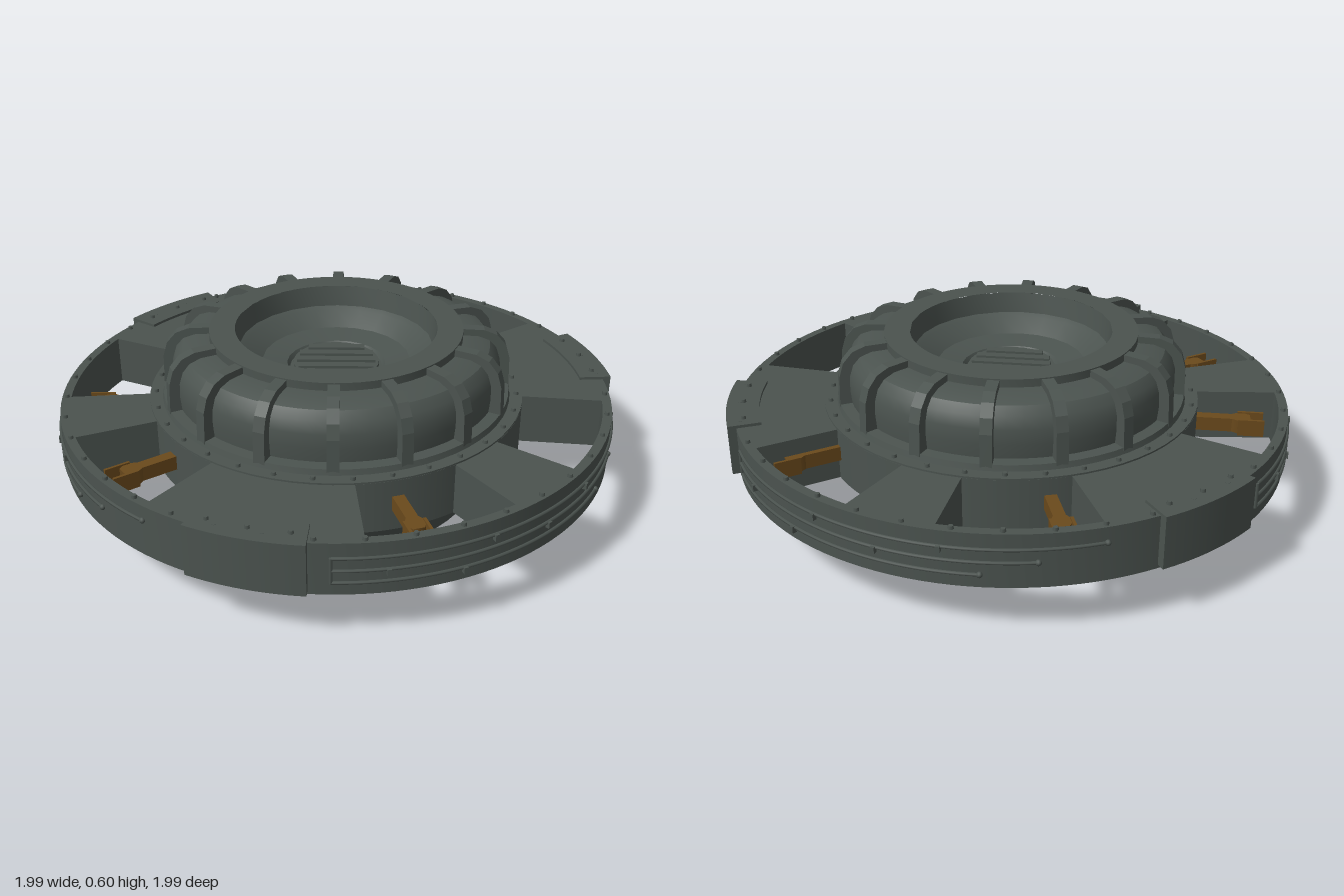
import * as THREE from 'three';
import { toCreasedNormals } from 'three/addons/utils/BufferGeometryUtils.js';

const rad = THREE.MathUtils.degToRad;

export function createModel() {
  const hull = new THREE.MeshStandardMaterial({ name: 'hullGrey', color: 0x4b534f });
  const rust = new THREE.MeshStandardMaterial({ name: 'strutBrown', color: 0x6b4a1c });
  const model = new THREE.Group();
  model.name = 'ringHatch';
  const body = new THREE.Group();
  body.name = 'body';
  body.position.set(-0.01, 0, -0.012);
  model.add(body);

  const add = (name, geo, mat = hull, parent = body) => {
    const m = new THREE.Mesh(geo, mat);
    m.name = name;
    parent.add(m);
    return m;
  };
  // a holder whose local x points outward at an angle measured from +x towards +z
  const spoke = (name, deg) => {
    const g = new THREE.Group();
    g.name = name;
    g.rotation.y = -rad(deg);
    body.add(g);
    return g;
  };
  const sector = (path, r0, r1, a, b) => {
    path.absarc(0, 0, r1, rad(a), rad(b), false);
    path.absarc(0, 0, r0, rad(b), rad(a), true);
    path.closePath();
    return path;
  };
  // extrude a plan outline between two heights
  const slab = (shape, y0, y1, seg) => {
    const g = new THREE.ExtrudeGeometry(shape, { depth: y1 - y0, bevelEnabled: false, curveSegments: seg });
    g.rotateX(Math.PI / 2).translate(0, y1, 0);
    return toCreasedNormals(g, 0.5);
  };
  const lathe = (pts, seg = 64) =>
    toCreasedNormals(new THREE.LatheGeometry(pts.map(p => new THREE.Vector2(...p)), seg), 0.45);

  // outer ring with six windows in three pairs
  const ring = new THREE.Shape().absarc(0, 0, 0.975, 0, Math.PI * 2, false);
  ring.holes.push(new THREE.Path().absarc(0, 0, 0.5, 0, Math.PI * 2, true));
  for (let k = 0; k < 3; k++) {
    for (const a of [6, 54]) ring.holes.push(sector(new THREE.Path(), 0.665, 0.943, a + k * 120, a + 30 + k * 120));
  }
  add('outerRing', slab(ring, 0.18, 0.362, 64));

  // lower cone with a recessed underside
  add('lowerCone', lathe([[0, 0.1], [0.335, 0.1], [0.425, 0], [0.51, 0], [0.605, 0.18], [0.605, 0.25]]));

  // hub: collar, bulging wall, top ring and stepped bowl
  add('hub', lathe([
    [0.665, 0.355], [0.665, 0.368], [0.62, 0.368], [0.615, 0.388], [0.575, 0.39], [0.58, 0.44], [0.578, 0.49],
    [0.565, 0.53], [0.54, 0.558], [0.5, 0.573], [0.445, 0.576], [0.445, 0.604], [0.355, 0.604]]));
  add('bowl', lathe([
    [0.355, 0.604], [0.342, 0.53], [0.325, 0.52], [0.262, 0.475], [0.175, 0.46], [0.165, 0.445], [0, 0.445]], 24));
  add('bowlDisc', new THREE.CylinderGeometry(0.152, 0.152, 0.02, 32)).position.y = 0.455;
  for (let i = -2; i <= 2; i++) {
    const z = i * 0.05;
    add('discSlat', new THREE.BoxGeometry(2 * Math.sqrt(0.0225 - z * z) - 0.02, 0.012, 0.032))
      .position.set(0, 0.469, z);
  }

  // sixteen ribs wrapping the hub wall
  const rib = new THREE.Shape([
    [0.44, 0.56], [0.54, 0.54], [0.56, 0.37], [0.617, 0.37], [0.613, 0.49], [0.598, 0.54],
    [0.565, 0.578], [0.52, 0.596], [0.44, 0.6]].map(p => new THREE.Vector2(...p)));
  const ribGeo = new THREE.ExtrudeGeometry(rib, { depth: 0.04, bevelEnabled: false }).translate(0, 0, -0.02);
  for (let i = 0; i < 16; i++) add('hubRib', ribGeo, hull, spoke('ribHolder', i * 22.5));

  // ten struts between hub and rim, each ending in a fork
  const beam = new THREE.BoxGeometry(0.2, 0.05, 0.04);
  const knuckle = new THREE.CylinderGeometry(0.038, 0.038, 0.05, 6);
  const prong = new THREE.BoxGeometry(0.09, 0.06, 0.01);
  for (let i = 0; i < 10; i++) {
    const s = spoke('strut', i * 36);
    add('strutBeam', beam, rust, s).position.set(0.72, 0.28, 0);
    add('strutKnuckle', knuckle, rust, s).position.set(0.82, 0.28, 0);
    for (const z of [-0.033, 0.033]) add('strutProng', prong, rust, s).position.set(0.855, 0.28, z);
  }

  // bolts
  const boltGeo = new THREE.CylinderGeometry(0.008, 0.01, 0.014, 6);
  const bolt = (deg, r, y) => add('bolt', boltGeo, hull, spoke('boltHolder', deg)).position.set(r, y, 0);
  for (let i = 0; i < 40; i++) bolt(i * 9 + 3, 0.958, 0.366);
  for (let i = 0; i < 32; i++) bolt(i * 11.25 + 5.6, 0.643, 0.372);

  // tube following the rim
  const rail = (y, a, b) => {
    const pts = [];
    for (let i = 0; i <= 24; i++) {
      const t = rad(a + (b - a) * i / 24);
      pts.push(new THREE.Vector3(0.978 * Math.cos(t), y, 0.978 * Math.sin(t)));
    }
    add('rimRail', new THREE.TubeGeometry(new THREE.CatmullRomCurve3(pts), 48, 0.006, 6));
    const end = add('railEnd', new THREE.SphereGeometry(0.01, 8, 6));
    end.position.copy(pts[0]);
  };
  const clipGeo = new THREE.BoxGeometry(0.02, 0.022, 0.014);
  for (let k = 0; k < 3; k++) {
    const o = k * 120;
    // clamp plate over the rim
    add('clampPlate', slab(sector(new THREE.Shape(), 0.89, 1.003, 94 + o, 116 + o), 0.192, 0.372, 24));
    for (const a of [97, 105, 113]) bolt(a + o, 0.945, 0.376);
    // rim rails, their end post and clips
    rail(0.311, 6 + o, 90 + o);
    rail(0.267, 18 + o, 90 + o);
    rail(0.225, 28 + o, 90 + o);
    add('railPost', new THREE.CylinderGeometry(0.006, 0.006, 0.09, 6), hull, spoke('postHolder', 90 + o))
      .position.set(0.978, 0.268, 0);
    for (const [a, y] of [[66, 0.218], [60, 0.304], [47, 0.26], [35, 0.304], [80, 0.26]]) {
      add('railClip', clipGeo, hull, spoke('clipHolder', a + o)).position.set(0.98, y, 0);
    }
  }
  return model;
}
